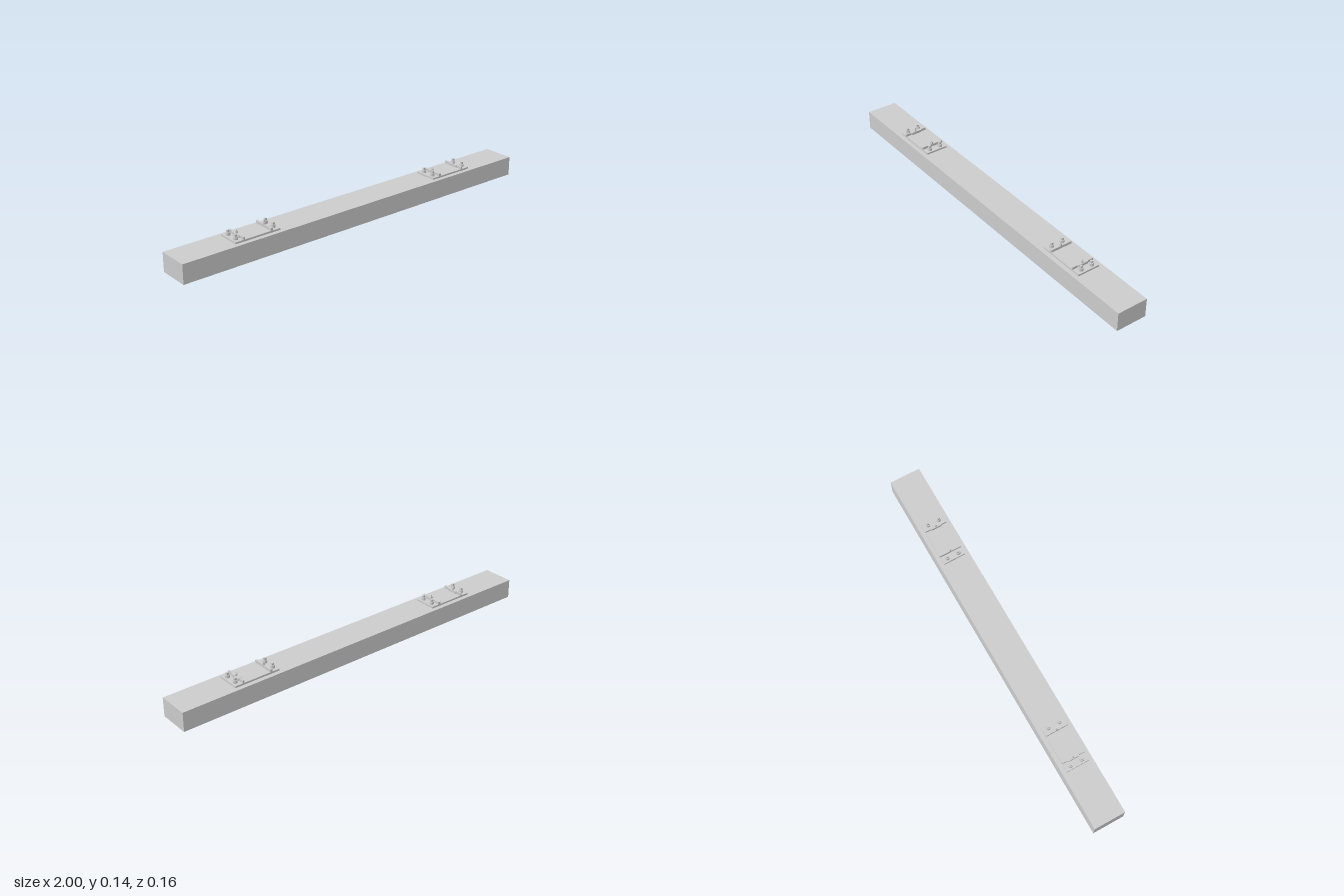
import * as THREE from 'three';

const material = new THREE.MeshStandardMaterial({ color: 0xcccccc, flatShading: true });

function add(parent, name, geometry, x, y, z) {
  const mesh = new THREE.Mesh(geometry, material);
  mesh.name = name;
  mesh.position.set(x, y, z);
  parent.add(mesh);
}

// Box and cylinder placed by their bottom and top heights
const box = (parent, name, w, d, y0, y1, x = 0, z = 0) =>
  add(parent, name, new THREE.BoxGeometry(w, y1 - y0, d), x, (y0 + y1) / 2, z);
const post = (parent, name, r0, r1, sides, y0, y1, x = 0, z = 0) =>
  add(parent, name, new THREE.CylinderGeometry(r1, r0, y1 - y0, sides), x, (y0 + y1) / 2, z);

// Rail clamp lying along z; the outer one has a broad middle
function clamp(broad) {
  const s = new THREE.Shape();
  const w = broad ? 0.009 : 0.006;
  const e = broad ? 0.0045 : 0.006;
  const half = [[e, 0.058], [e, 0.03], [w, 0.026]];
  const right = [...half, ...half.map(([x, z]) => [x, -z]).reverse()];
  const left = right.map(([x, z]) => [-x, -z]);
  s.setFromPoints([...right, ...left].map(([x, z]) => new THREE.Vector2(x, z)));
  const g = new THREE.ExtrudeGeometry(s, { depth: 0.013, bevelEnabled: false });
  g.rotateX(-Math.PI / 2);
  return g;
}

// Plate with its fastenings, mirrored about the rail line
function railSeat(x) {
  const seat = new THREE.Group();
  seat.name = 'railSeat';
  seat.position.x = x;
  box(seat, 'basePlate', 0.242, 0.116, 0.097, 0.106);
  for (const side of [-1, 1]) {
    const cx = side * 0.075;
    const outer = side * x > 0;
    add(seat, 'clamp', clamp(outer), cx, 0.106, 0);
    // Clamp bolt
    post(seat, 'clampNut', 0.0065, 0.006, 6, 0.119, 0.129, cx);
    post(seat, 'clampBoltTip', 0.0027, 0.0027, 8, 0.129, 0.136, cx);
    // Screw spikes outside the clamp
    for (const z of [-0.03, 0.03]) {
      post(seat, 'spikeCollar', 0.0115, 0.0105, 12, 0.106, 0.12, side * 0.102, z);
      box(seat, 'spikeHead', 0.011, 0.011, 0.12, 0.131, side * 0.102, z);
    }
  }
  return seat;
}

export function createModel() {
  const model = new THREE.Group();
  model.name = 'railSleeper';
  box(model, 'sleeper', 2, 0.16, 0, 0.097);
  for (const x of [-0.593, 0.593]) model.add(railSeat(x));
  return model;
}
